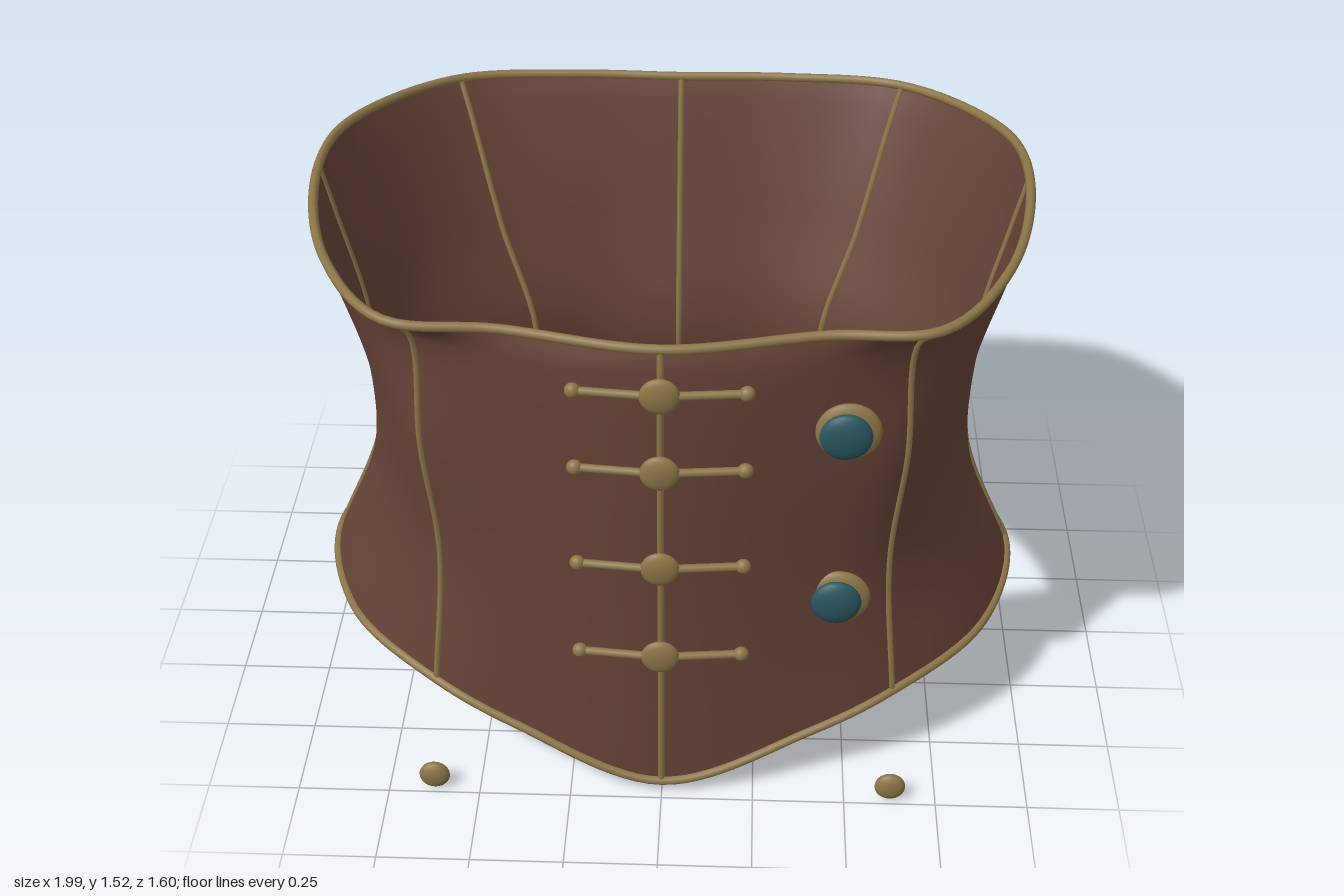
import * as THREE from 'three';

const leather = new THREE.MeshStandardMaterial({ color: 0x654337, side: THREE.DoubleSide });
leather.name = 'brown leather';
const brass = new THREE.MeshStandardMaterial({ color: 0x8c7648 });
brass.name = 'brass';
const teal = new THREE.MeshStandardMaterial({ color: 0x2a5560 });
teal.name = 'teal stone';

// Half of the body, centre front to centre back: [bottom y, top y, then x, z at five heights]
const half = [
  [0.045, 1.44, 0, 0.725, 0, 0.725, 0, 0.73, 0, 0.725, 0, 0.71],
  [0.18, 1.452, 0.4, 0.66, 0.39, 0.645, 0.39, 0.655, 0.39, 0.66, 0.4, 0.65],
  [0.26, 1.468, 0.625, 0.575, 0.595, 0.54, 0.62, 0.565, 0.622, 0.575, 0.675, 0.645],
  [0.305, 1.495, 0.88, 0.34, 0.76, 0.34, 0.76, 0.34, 0.83, 0.37, 0.855, 0.4],
  [0.32, 1.512, 0.98, -0.05, 0.84, -0.05, 0.845, -0.05, 0.915, -0.05, 0.945, -0.05],
  [0.32, 1.49, 0.84, -0.36, 0.7, -0.27, 0.76, -0.33, 0.86, -0.36, 0.9, -0.38],
  [0.32, 1.458, 0.57, -0.58, 0.43, -0.5, 0.53, -0.57, 0.62, -0.675, 0.645, -0.705],
  [0.32, 1.444, 0.29, -0.66, 0.25, -0.585, 0.26, -0.66, 0.29, -0.755, 0.31, -0.778],
  [0.32, 1.44, 0, -0.668, 0, -0.588, 0, -0.67, 0, -0.76, 0, -0.782],
];
const ROWS = 32, COLS = 96;

function columnCurve([y0, y1, ...p], side) {
  const ys = [y0, 0.68, 1.05, 1.38, y1];
  return new THREE.CatmullRomCurve3(ys.map((y, i) => new THREE.Vector3(side * p[2 * i], y, p[2 * i + 1])));
}

// All sixteen columns in order around the body
const columns = [
  ...half.map((c) => columnCurve(c, 1)),
  ...half.slice(1, -1).reverse().map((c) => columnCurve(c, -1)),
];
const ring = (t) => new THREE.CatmullRomCurve3(columns.map((c) => c.getPoint(t)), true);

function shellGeometry() {
  const pos = [], index = [];
  for (let r = 0; r <= ROWS; r++) {
    const curve = ring(r / ROWS);
    for (let c = 0; c < COLS; c++) pos.push(...curve.getPoint(c / COLS).toArray());
  }
  for (let r = 0; r < ROWS; r++) {
    for (let c = 0; c < COLS; c++) {
      const a = r * COLS + c, b = r * COLS + (c + 1) % COLS;
      index.push(a, b, b + COLS, a, b + COLS, a + COLS);
    }
  }
  const g = new THREE.BufferGeometry();
  g.setAttribute('position', new THREE.Float32BufferAttribute(pos, 3));
  g.setIndex(index);
  g.computeVertexNormals();
  return g;
}

export function createModel() {
  const model = new THREE.Group();
  model.name = 'corset';

  const add = (name, geometry, material, parent = model) => {
    const m = new THREE.Mesh(geometry, material);
    m.name = name;
    parent.add(m);
    return m;
  };
  // Flattened round stud facing the front
  const stud = (name, x, y, z, r, depth, material, parent = model) => {
    const m = add(name, new THREE.SphereGeometry(1, 24, 16), material, parent);
    m.position.set(x, y, z);
    m.scale.set(r, r, depth);
    return m;
  };

  add('body', shellGeometry(), leather);

  // Piping along both edges and the eight seams
  add('topTrim', new THREE.TubeGeometry(ring(1), 160, 0.013, 8, true), brass);
  add('bottomTrim', new THREE.TubeGeometry(ring(0), 160, 0.013, 8, true), brass);
  for (let i = 0; i < 16; i += 2) {
    add('seam', new THREE.TubeGeometry(columns[i], 40, 0.009, 6), brass);
  }

  // Front clasps: bent bar with a centre stud and ball ends
  for (const [y, z] of [[1.345, 0.77], [1.125, 0.78], [0.825, 0.777], [0.535, 0.777]]) {
    const clasp = new THREE.Group();
    clasp.name = 'clasp';
    clasp.position.set(0, y, z);
    model.add(clasp);
    stud('claspStud', 0, 0, 0, 0.05, 0.018, brass, clasp);
    for (const s of [-1, 1]) {
      const line = new THREE.LineCurve3(new THREE.Vector3(0, 0, 0), new THREE.Vector3(s * 0.21, 0, -0.02));
      add('claspBar', new THREE.TubeGeometry(line, 1, 0.011, 8), brass, clasp);
      stud('claspEnd', s * 0.21, 0, -0.02, 0.02, 0.018, brass, clasp);
    }
  }

  // Stones in brass settings on the left front
  for (const [y, z] of [[1.187, 0.672], [0.628, 0.627]]) {
    stud('stoneSetting', 0.462, y, z, 0.083, 0.025, brass);
    stud('stone', 0.455, y, z + 0.024, 0.066, 0.026, teal);
  }

  // Loose hanging beads below the hem
  for (const s of [-1, 1]) stud('bead', s * 0.625, 0.045, 0.725, 0.042, 0.021, brass);

  return model;
}
